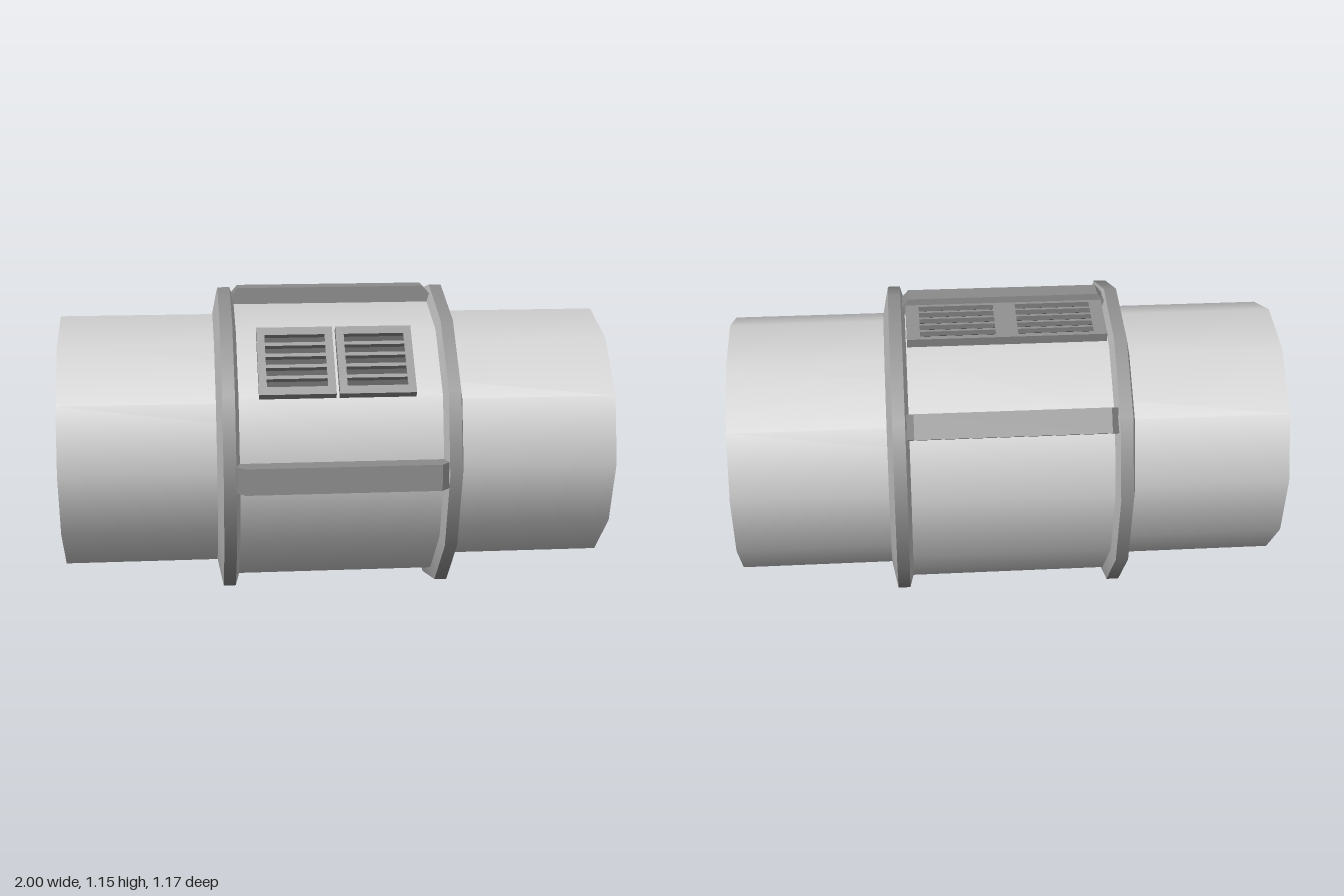
import * as THREE from 'three';

const SIDES = 12;
const TILT = THREE.MathUtils.degToRad(2.2);
const grey = new THREE.MeshStandardMaterial({ color: 0xcccccc });
const trim = new THREE.MeshStandardMaterial({ color: 0x8c8c8c });
const dark = new THREE.MeshStandardMaterial({ color: 0x222222 });

function mesh(name, geometry, material) {
  const m = new THREE.Mesh(geometry, material);
  m.name = name;
  return m;
}

// Twelve-sided section along x, from x0 (radius r0) to x1 (radius r1)
function section(name, x0, r0, x1, r1, material, open = true) {
  const g = new THREE.CylinderGeometry(r1, r0, x1 - x0, SIDES, 1, open);
  g.rotateZ(-Math.PI / 2);
  g.translate((x0 + x1) / 2, 0, 0);
  return mesh(name, g, material);
}

// Group whose local y points outward at an angle from the top towards the front
function radialGroup(name, degrees) {
  const g = new THREE.Group();
  g.name = name;
  g.rotation.x = THREE.MathUtils.degToRad(degrees);
  return g;
}

function rectangle(PathType, cx, cy, w, h) {
  const p = new PathType();
  p.moveTo(cx - w / 2, cy - h / 2);
  p.lineTo(cx + w / 2, cy - h / 2);
  p.lineTo(cx + w / 2, cy + h / 2);
  p.lineTo(cx - w / 2, cy + h / 2);
  p.closePath();
  return p;
}

// Flat frame with stacks of slots over a dark backing
function ventPanel(cx, width, height, windows, windowWidth, pitch, slot, top) {
  const panel = new THREE.Group();
  panel.name = 'ventPanel';
  const shape = rectangle(THREE.Shape, 0, 0, width, height);
  for (const wx of windows) {
    for (let i = -2; i <= 2; i++) {
      shape.holes.push(rectangle(THREE.Path, wx, i * pitch, windowWidth, slot));
    }
  }
  const depth = 0.06;
  const frame = new THREE.ExtrudeGeometry(shape, { depth, bevelEnabled: false });
  frame.rotateX(-Math.PI / 2);
  frame.translate(0, top - depth, 0);
  panel.add(mesh('ventFrame', frame, trim));
  const back = new THREE.BoxGeometry(width - 0.01, 0.02, height - 0.01);
  back.translate(0, top - 0.03, 0);
  panel.add(mesh('ventBacking', back, dark));
  panel.position.x = cx;
  return panel;
}

// Bar with sloping ends
function rail(degrees, offset, outer, width) {
  const g = radialGroup('rail', degrees);
  const s = new THREE.Shape();
  s.moveTo(-0.38, 0.47);
  s.lineTo(0.38, 0.47);
  s.lineTo(0.38, outer - 0.04);
  s.lineTo(0.345, outer);
  s.lineTo(-0.345, outer);
  s.lineTo(-0.38, outer - 0.04);
  s.closePath();
  const geo = new THREE.ExtrudeGeometry(s, { depth: width, bevelEnabled: false });
  geo.translate(0, 0, offset - width / 2);
  g.add(mesh('railBar', geo, trim));
  return g;
}

export function createModel() {
  const model = new THREE.Group();
  model.name = 'pipeCoupling';
  const axis = new THREE.Group();
  axis.name = 'coupling';
  axis.position.set(0, 0.58, -0.01);
  model.add(axis);

  // Pipe and central drum
  const body = new THREE.Group();
  body.name = 'body';
  body.rotation.x = TILT;
  body.add(section('pipe', -1, 0.475, 1, 0.475, grey, false));
  body.add(section('drum', -0.38, 0.53, 0.38, 0.53, grey));

  // Bevelled flanges, mirrored by a half turn
  for (const turn of [0, Math.PI]) {
    const flange = new THREE.Group();
    flange.name = turn ? 'rightFlange' : 'leftFlange';
    flange.rotation.y = turn;
    flange.add(section('innerBevel', 0.36, 0.525, 0.375, 0.576, grey));
    flange.add(section('rim', 0.375, 0.576, 0.42, 0.576, trim));
    flange.add(section('outerBevel', 0.42, 0.576, 0.44, 0.475, grey));
    body.add(flange);
  }
  axis.add(body);

  // Rails on the front, top and upper back edges
  axis.add(rail(90, 0.022, 0.595, 0.095));
  axis.add(rail(0, 0.018, 0.577, 0.085));
  axis.add(rail(-60, 0.015, 0.583, 0.09));

  // Pair of vents on the upper front face
  const frontVents = radialGroup('frontVents', 47.2);
  for (const x of [-0.154, 0.13]) {
    frontVents.add(ventPanel(x, 0.272, 0.28, [0], 0.215, 0.046, 0.032, 0.54));
  }
  axis.add(frontVents);

  // Wide double vent on the face behind the top rail
  const topVent = radialGroup('topVent', -12.8);
  topVent.add(ventPanel(0, 0.715, 0.21, [-0.175, 0.175], 0.27, 0.037, 0.027, 0.545));
  axis.add(topVent);

  return model;
}
